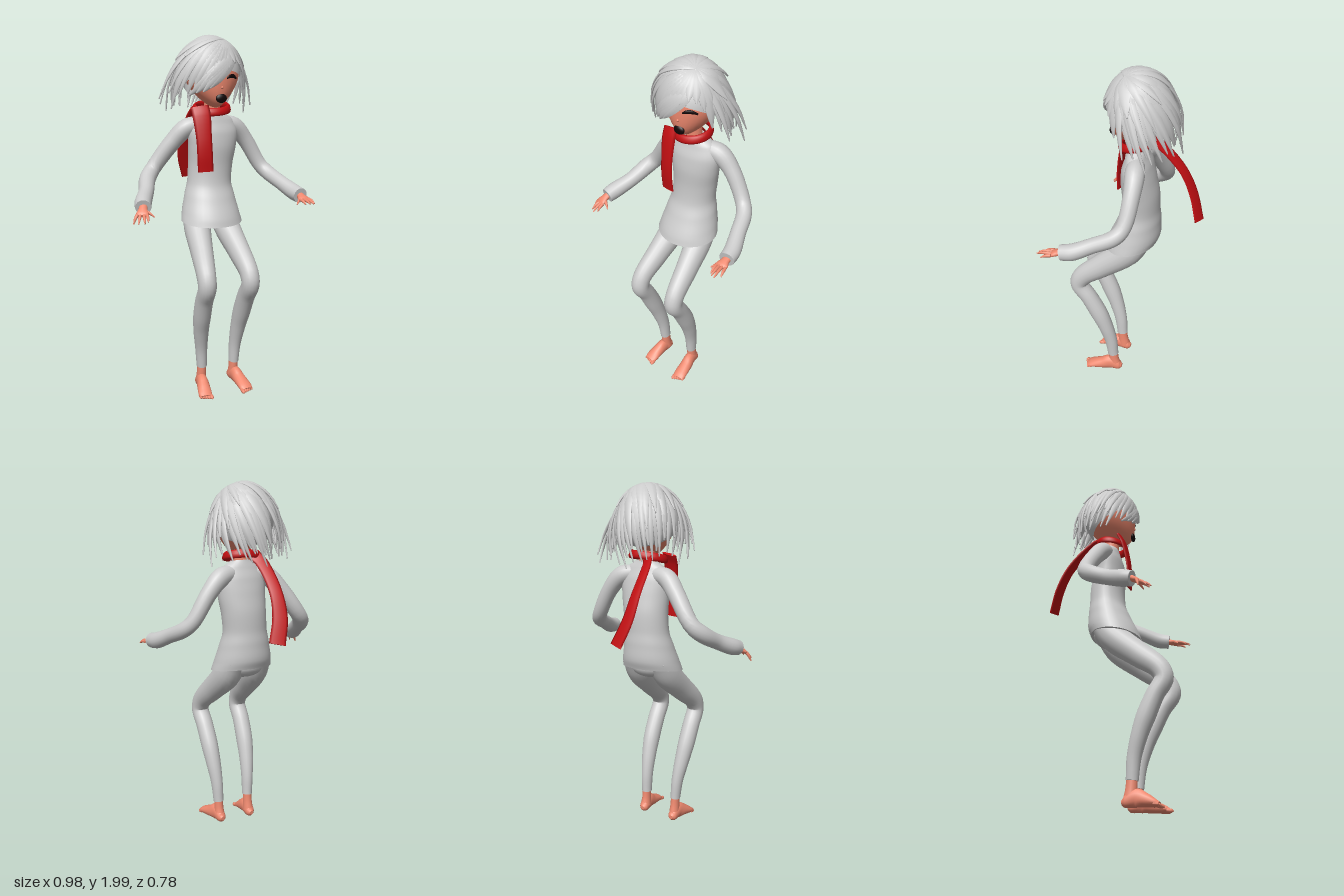
import * as THREE from 'three';

const V = (x, y, z) => new THREE.Vector3(x, y, z);
const mat = (color) => new THREE.MeshStandardMaterial({ color, side: THREE.DoubleSide });
const grey = mat(0xcccccc), skin = mat(0xf08a70), red = mat(0xc00f12), black = mat(0x120505);
const X = V(1, 0, 0), Y = V(0, 1, 0), Z = V(0, 0, 1);

// Lofted elliptical tube through [x, y, z, a, b]: a lies along the hint direction, b across it.
// A fixed axis keeps all rings parallel.
function loft(pts, hint, sides = 16, steps = 28, axis = null) {
  const path = new THREE.CatmullRomCurve3(pts.map((p) => V(p[0], p[1], p[2])));
  const size = new THREE.CatmullRomCurve3(pts.map((p) => V(p[3], p[4] ?? p[3], 0)), false, 'catmullrom', 0.4);
  const pos = [], idx = [];
  for (let i = 0; i <= steps; i++) {
    const t = i / steps, c = path.getPoint(t), T = axis ?? path.getTangent(t), s = size.getPoint(t);
    const u = (typeof hint === 'function' ? hint(c) : hint).clone();
    u.addScaledVector(T, -u.dot(T)).normalize();
    const v = T.clone().cross(u);
    for (let j = 0; j < sides; j++) {
      const w = (j / sides) * Math.PI * 2;
      pos.push(...c.clone().addScaledVector(u, s.x * Math.cos(w)).addScaledVector(v, s.y * Math.sin(w)).toArray());
      if (i < steps) {
        const a = i * sides + j, b = i * sides + ((j + 1) % sides);
        idx.push(a, b, a + sides, b, b + sides, a + sides);
      }
    }
  }
  // End caps with their own vertices, so the rims stay sharp
  for (const end of [0, 1]) {
    const from = end * steps * sides, start = pos.length / 3;
    const ring = pos.slice(from * 3, (from + sides) * 3);
    pos.push(...ring, ...path.getPoint(end).toArray());
    for (let j = 0; j < sides; j++) {
      const a = start + j, b = start + ((j + 1) % sides);
      idx.push(...(end ? [a, b, start + sides] : [b, a, start + sides]));
    }
  }
  const g = new THREE.BufferGeometry();
  g.setAttribute('position', new THREE.Float32BufferAttribute(pos, 3));
  g.setIndex(idx);
  g.computeVertexNormals();
  return g;
}

function add(parent, name, geometry, material) {
  const m = new THREE.Mesh(geometry, material);
  m.name = name;
  parent.add(m);
  return m;
}

// Head shape: an ellipsoid narrowed towards a forward chin
const HC = V(0.035, 1.785, -0.03), HR = V(0.15, 0.172, 0.143);
const jaw = (ny) => (ny < 0 ? 1 - 0.45 * Math.pow(-ny, 1.5) : 1);
const chin = (ny) => (ny < 0 ? 0.055 * ny * ny : 0);
function faceZ(x, y) {
  const ny = (y - HC.y) / HR.y, nx = (x - HC.x) / (HR.x * jaw(ny));
  return HC.z + chin(ny) + HR.z * Math.sqrt(Math.max(0, 1 - nx * nx - ny * ny));
}

function buildHead(g) {
  const geo = new THREE.SphereGeometry(1, 32, 24), p = geo.attributes.position;
  for (let i = 0; i < p.count; i++) {
    const x = p.getX(i), y = p.getY(i), z = p.getZ(i);
    p.setXYZ(i, HC.x + x * HR.x * jaw(y), HC.y + y * HR.y, HC.z + chin(y) + z * HR.z);
  }
  geo.computeVertexNormals();
  add(g, 'head', geo, skin);
  const mouth = add(g, 'mouth', new THREE.SphereGeometry(1, 20, 12), black);
  mouth.scale.set(0.032, 0.025, 0.014);
  mouth.position.set(0.04, 1.665, faceZ(0.04, 1.665));
  const nose = add(g, 'nose', new THREE.SphereGeometry(0.007, 12, 8), skin);
  nose.position.set(0.04, 1.722, faceZ(0.04, 1.722));
  // Closed, smiling eyes
  for (const s of [-1, 1]) {
    const pts = [-1, -0.4, 0.3, 1].map((k, i) => {
      const x = 0.04 + s * (0.062 + 0.034 * k), y = 1.77 + 0.012 * (1 - k * k);
      return [x, y, faceZ(x, y), 0.005, [0.004, 0.009, 0.011, 0.005][i]];
    });
    add(g, 'eye', loft(pts, Z, 8, 12), black);
  }
}

// Hair shell and crown whorl, in the shell's own unit space
const SC = V(0.03, 1.795, -0.035), SR = V(0.163, 0.19, 0.16);
const toShell = (p) => V(...p).sub(SC).divide(SR);
const crown = V(0.3, 0.9, 0.33).normalize();

// A lock runs over the shell from its root and flares off to its tip
function lock(g, tip, width, lift, root = crown) {
  const d = toShell(tip), r = d.length();
  d.normalize();
  const ang = root.angleTo(d), pts = [];
  const widths = [0.25, 0.65, 1, 1, 0.85, 0.6, 0.12];
  widths.forEach((w, i) => {
    const t = i / (widths.length - 1);
    const q = root.clone().multiplyScalar(Math.sin((1 - t) * ang)).addScaledVector(d, Math.sin(t * ang));
    q.divideScalar(Math.sin(ang)).multiplyScalar(lift + (r - lift) * Math.pow(t, 3.5)).multiply(SR).add(SC);
    pts.push([q.x, q.y, q.z, 0.008 * (0.4 + 0.6 * w), width * w]);
  });
  add(g, 'hairLock', loft(pts, (c) => c.clone().sub(SC), 6, 14), grey);
}

function buildHair(g) {
  const cap = add(g, 'hairCap', new THREE.SphereGeometry(1, 28, 16, 0, Math.PI * 2, 0, Math.PI * 0.6), grey);
  cap.scale.copy(SR);
  cap.position.copy(SC);
  cap.rotation.x = -0.5;
  let seed = 7;
  const rnd = () => (seed = (seed * 16807) % 2147483647) / 2147483647;
  // Layers: count, first azimuth in degrees, reach, tip height, half width, lift
  const layers = [[21, 86, 0.21, 1.6, 0.026, 1.0], [19, 80, 0.2, 1.66, 0.027, 1.01],
    [17, 72, 0.19, 1.73, 0.028, 1.025], [13, 64, 0.178, 1.82, 0.028, 1.04]];
  for (const [n, from, reach, y, w, lift] of layers) {
    for (let i = 0; i < n; i++) {
      const a = THREE.MathUtils.degToRad(from + (360 - 2 * from) * (i + 0.5 * rnd()) / (n - 0.5));
      const side = Math.abs(Math.sin(a)), R = reach * (0.9 + 0.24 * rnd());
      lock(g, [SC.x + Math.sin(a) * R, y + 0.035 * side + 0.07 * (rnd() - 0.5),
        SC.z + Math.cos(a) * R], w * (0.75 + 0.5 * rnd()), lift);
    }
  }
  const front = (x, y) => {
    const k = (x - SC.x) / 0.19;
    return [x, y, SC.z + 0.172 * Math.sqrt(Math.max(0.05, 1 - k * k))];
  };
  // Locks from the crown over the forehead and both temples
  for (const [x, y] of [[0.11, 1.85], [0.07, 1.825], [0.03, 1.8], [-0.01, 1.775], [-0.045, 1.745], [-0.08, 1.72],
    [-0.11, 1.71], [-0.135, 1.69], [0.145, 1.84], [0.175, 1.8], [0.195, 1.75], [0.2, 1.7]])
    lock(g, front(x, y), 0.032, 1.03);
  // Fringe swept sideways across the right eye
  const parting = toShell([0.12, 1.9, 0.075]).normalize();
  for (const [x, y] of [[-0.035, 1.72], [-0.07, 1.7], [-0.1, 1.695], [-0.13, 1.68]])
    lock(g, front(x, y), 0.036, 1.05, parting);
  // Wind-blown side locks
  for (const t of [[-0.26, 1.66, -0.06], [-0.24, 1.63, -0.1], [-0.2, 1.59, -0.12], [-0.22, 1.69, -0.01],
    [-0.18, 1.67, 0.03], [0.28, 1.57, -0.14], [0.27, 1.62, -0.17], [0.25, 1.66, -0.08], [0.23, 1.76, -0.02],
    [0.22, 1.7, -0.03]]) lock(g, t, 0.022, 1.01);
}

function buildArm(g, name, arm, palmEnd, tips, thumb) {
  add(g, name + 'Sleeve', loft(arm, Y, 18, 36), grey);
  const w = arm[arm.length - 1], wrist = V(w[0], w[1], w[2]), end = V(...palmEnd);
  const at = (k) => wrist.clone().lerp(end, k).toArray();
  add(g, name + 'Palm', loft([[...at(-0.3), 0.017, 0.022], [...at(0.3), 0.016, 0.024],
    [...at(0.85), 0.013, 0.034], [...at(1.15), 0.008, 0.026]], Y, 12, 12), skin);
  const across = end.clone().sub(wrist).setY(0).normalize().cross(Y);
  const finger = (root, tip) => {
    const mid = root.clone().lerp(tip, 0.55).add(V(0, 0.005, 0));
    add(g, name + 'Finger', loft([[...root.toArray(), 0.009], [...mid.toArray(), 0.008],
      [...tip.toArray(), 0.003]], Y, 8, 8), skin);
  };
  tips.forEach((t, i) => finger(end.clone().addScaledVector(across, 0.017 * (i - 1.5)), V(...t)));
  finger(wrist.clone().lerp(end, 0.4), V(...thumb));
}

function buildLeg(g, left) {
  const name = left ? 'left' : 'right', pick = (r, l) => (left ? l : r);
  // Right x, left x, y, z, half width, half depth
  const rows = [[-0.05, 0.1, 1.05, -0.07, 0.068, 0.068], [-0.065, 0.11, 0.95, 0.005, 0.074, 0.08],
    [-0.09, 0.125, 0.83, 0.145, 0.061, 0.07], [-0.11, 0.134, 0.735, 0.255, 0.052, 0.058],
    [-0.112, 0.135, 0.675, 0.277, 0.05, 0.052], [-0.11, 0.135, 0.59, 0.228, 0.05, 0.05],
    [-0.104, 0.135, 0.48, 0.178, 0.049, 0.052], [-0.095, 0.132, 0.38, 0.14, 0.043, 0.045],
    [-0.082, 0.127, 0.26, 0.108, 0.034, 0.038], [-0.075, 0.124, 0.15, 0.097, 0.029, 0.033]];
  const knee = (y) => pick(0, 0.018) * Math.max(0, 1 - Math.abs(y - 0.7) / 0.25);
  add(g, name + 'Leg', loft(rows.map(([r, l, y, z, a, b]) => [pick(r, l), y, z + knee(y), a, b]), X, 18, 44), grey);
  // Bare foot: ankle, sole and toes
  const x = pick(-0.075, 0.124), out = pick(-1, 0.6), up = pick(0, 0.012), far = pick(0, 0.025);
  add(g, name + 'Ankle', loft([[x, 0.18, 0.097, 0.024, 0.028], [x, 0.11, 0.093, 0.026, 0.031],
    [x, 0.05 + up, 0.085, 0.03, 0.036]], X, 14, 10), skin);
  add(g, name + 'Foot', loft([[x, 0.042 + up, 0.042, 0.012, 0.012], [x, 0.043 + up, 0.06, 0.027, 0.03],
    [x + 0.006 * out, 0.06 + up, 0.115, 0.031, 0.048], [x + 0.015 * out, 0.047 + up, 0.165, 0.036, 0.036],
    [x + 0.023 * out, 0.03 + up, 0.21 + far, 0.039, 0.022],
    [x + 0.026 * out, 0.021 + up, 0.235 + far, 0.034, 0.013]], X, 16, 22), skin);
  for (let i = 0; i < 5; i++) {
    const inner = pick(1, -1), tx = x + 0.025 * out + inner * (0.028 - 0.0145 * i), r = 0.011 - 0.001 * i;
    const z = 0.222 + far - 0.004 * i;
    add(g, name + 'Toe', loft([[tx, 0.022 + up, z, r], [tx, 0.018 + up, z + 0.025, r],
      [tx, 0.015 + up, z + 0.036 - 0.002 * i, r * 0.35]], X, 8, 8), skin);
  }
}

function buildScarf(g) {
  // Loop dips at the front, below the chin
  const ring = [];
  for (let i = 0; i <= 16; i++) {
    const a = (i / 16) * Math.PI * 2 + Math.PI;
    ring.push([0.035 + 0.098 * Math.sin(a), 1.608 - 0.018 * Math.cos(a) + 0.006 * Math.sin(a),
      -0.03 + 0.085 * Math.cos(a), 0.011, 0.023]);
  }
  add(g, 'scarfLoop', loft(ring, (c) => V(c.x - 0.035, 0.03, c.z + 0.03), 10, 48), red);
  add(g, 'scarfFrontTail', loft([[-0.06, 1.62, 0.035, 0.01, 0.05], [-0.057, 1.57, 0.058, 0.01, 0.05],
    [-0.053, 1.45, 0.083, 0.009, 0.043], [-0.05, 1.36, 0.09, 0.007, 0.043],
    [-0.045, 1.27, 0.086, 0.005, 0.043]], V(-0.2, 0, 1), 8, 20), red);
  add(g, 'scarfBackTail', loft([[0, 1.615, -0.095, 0.006, 0.035], [-0.02, 1.58, -0.14, 0.006, 0.035],
    [-0.028, 1.44, -0.265, 0.006, 0.036], [-0.015, 1.31, -0.33, 0.005, 0.042],
    [0.03, 1.18, -0.375, 0.004, 0.045]], V(0.3, 0.4, -1), 8, 28), red);
}

export function createModel() {
  const g = new THREE.Group();
  g.name = 'figure';
  // Long sweater body, its hem a little higher at the back
  add(g, 'sweater', loft([[0.025, 0.982, 0.0, 0.176, 0.146], [0.025, 1.03, -0.015, 0.166, 0.147],
    [0.027, 1.12, -0.036, 0.146, 0.126], [0.03, 1.2, -0.05, 0.128, 0.106], [0.038, 1.3, -0.053, 0.13, 0.1],
    [0.045, 1.4, -0.042, 0.14, 0.093], [0.046, 1.48, -0.036, 0.145, 0.08], [0.043, 1.545, -0.035, 0.12, 0.058],
    [0.04, 1.585, -0.034, 0.065, 0.046]], X, 32, 48, V(0, 1, 0.13).normalize()), grey);
  const pelvis = add(g, 'pelvis', new THREE.SphereGeometry(1, 24, 16), grey);
  pelvis.scale.set(0.125, 0.07, 0.1);
  pelvis.position.set(0.022, 1.005, -0.03);
  add(g, 'neck', loft([[0.04, 1.55, -0.034, 0.045], [0.038, 1.68, -0.03, 0.045]], X, 14, 4), skin);
  buildHead(g);
  buildHair(g);
  buildArm(g, 'rightArm', [[-0.02, 1.52, -0.045, 0.045], [-0.1, 1.5, -0.06, 0.052], [-0.175, 1.42, -0.09, 0.048],
    [-0.28, 1.275, -0.12, 0.044], [-0.325, 1.225, -0.08, 0.046], [-0.365, 1.17, 0.02, 0.042],
    [-0.41, 1.13, 0.11, 0.046], [-0.425, 1.115, 0.16, 0.042]], [-0.443, 1.085, 0.2],
  [[-0.425, 1.055, 0.25], [-0.447, 1.05, 0.262], [-0.475, 1.045, 0.24], [-0.49, 1.038, 0.2]],
  [-0.38, 1.07, 0.215]);
  buildArm(g, 'leftArm', [[0.11, 1.52, -0.045, 0.045], [0.185, 1.5, -0.06, 0.052], [0.26, 1.42, -0.065, 0.045],
    [0.345, 1.275, -0.045, 0.041], [0.38, 1.23, -0.005, 0.042], [0.412, 1.185, 0.1, 0.041],
    [0.442, 1.145, 0.2, 0.045], [0.448, 1.135, 0.26, 0.042]], [0.446, 1.122, 0.305],
  [[0.48, 1.105, 0.36], [0.458, 1.11, 0.39], [0.44, 1.11, 0.385], [0.424, 1.105, 0.365]],
  [0.395, 1.1, 0.322]);
  buildLeg(g, false);
  buildLeg(g, true);
  buildScarf(g);
  return g;
}
